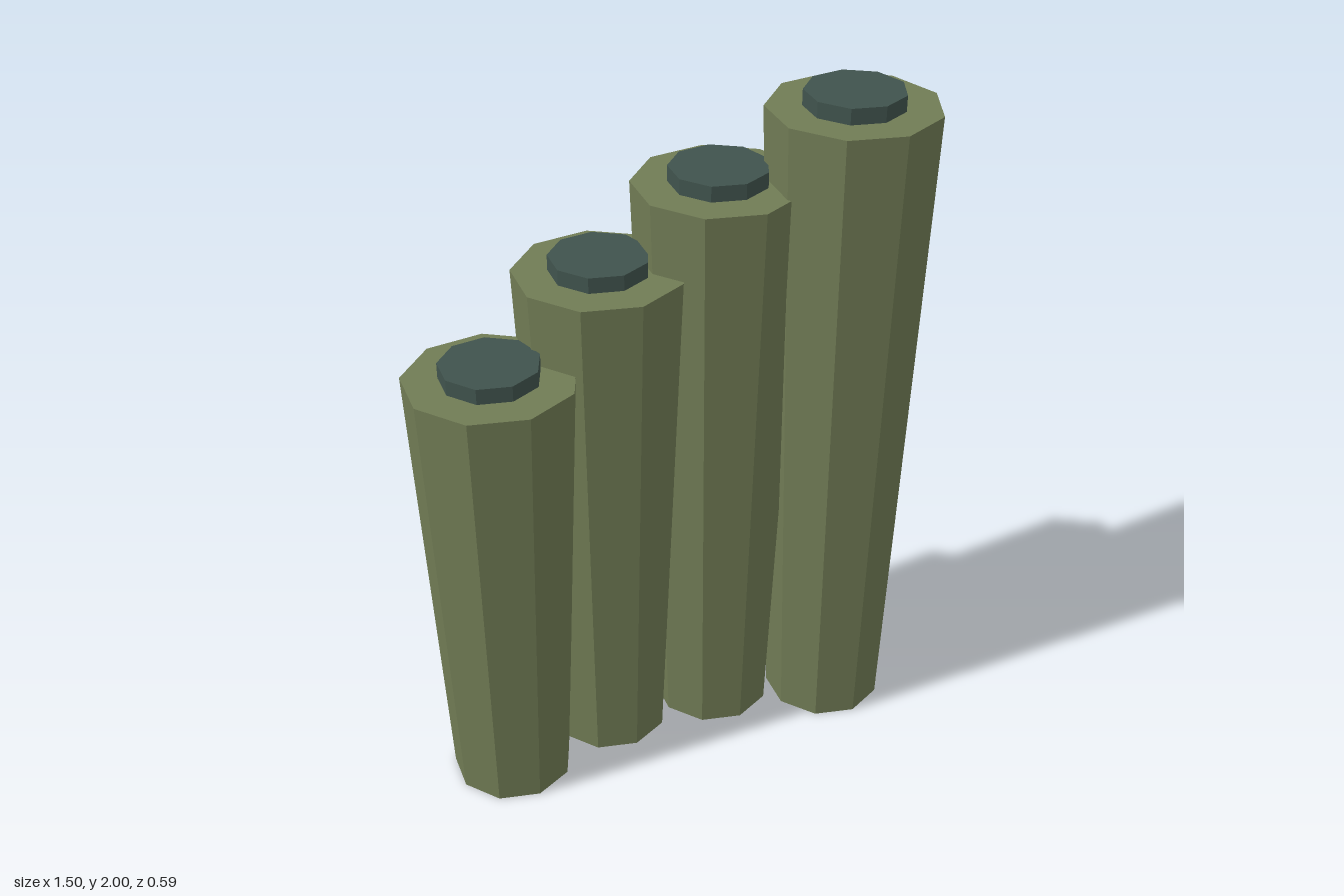
import * as THREE from 'three';

const SIDES = 9;

export function createModel() {
  const model = new THREE.Group();
  model.name = 'steppedPipes';

  const olive = new THREE.MeshStandardMaterial({ color: 0x717c55, flatShading: true });
  olive.name = 'olive green';
  const slate = new THREE.MeshStandardMaterial({ color: 0x40534d, flatShading: true });
  slate.name = 'dark slate green';

  // Nine-sided prism standing on y, with one corner pointing to +x
  const prism = (name, rTop, rBottom, height, y, material) => {
    const geometry = new THREE.CylinderGeometry(rTop, rBottom, height, SIDES);
    geometry.rotateY(Math.PI / 2);
    geometry.translate(0, y + height / 2, 0);
    const mesh = new THREE.Mesh(geometry, material);
    mesh.name = name;
    return mesh;
  };

  // Four pipes in a shallow arc, rising towards +x: [x, z, height]
  const pipes = [
    [-0.525, 0.055, 1.345],
    [-0.182, -0.053, 1.55],
    [0.162, -0.06, 1.752],
    [0.505, 0.036, 1.955],
  ];
  pipes.forEach(([x, z, height], i) => {
    const pipe = new THREE.Group();
    pipe.name = `pipe${i + 1}`;
    pipe.position.set(x, 0, z);
    pipe.add(
      prism('pipeBody', 0.24, 0.176, height, 0, olive), // flares towards the top
      prism('pipeMouth', 0.139, 0.139, 0.045, height, slate), // raised dark disc
    );
    model.add(pipe);
  });

  return model;
}
